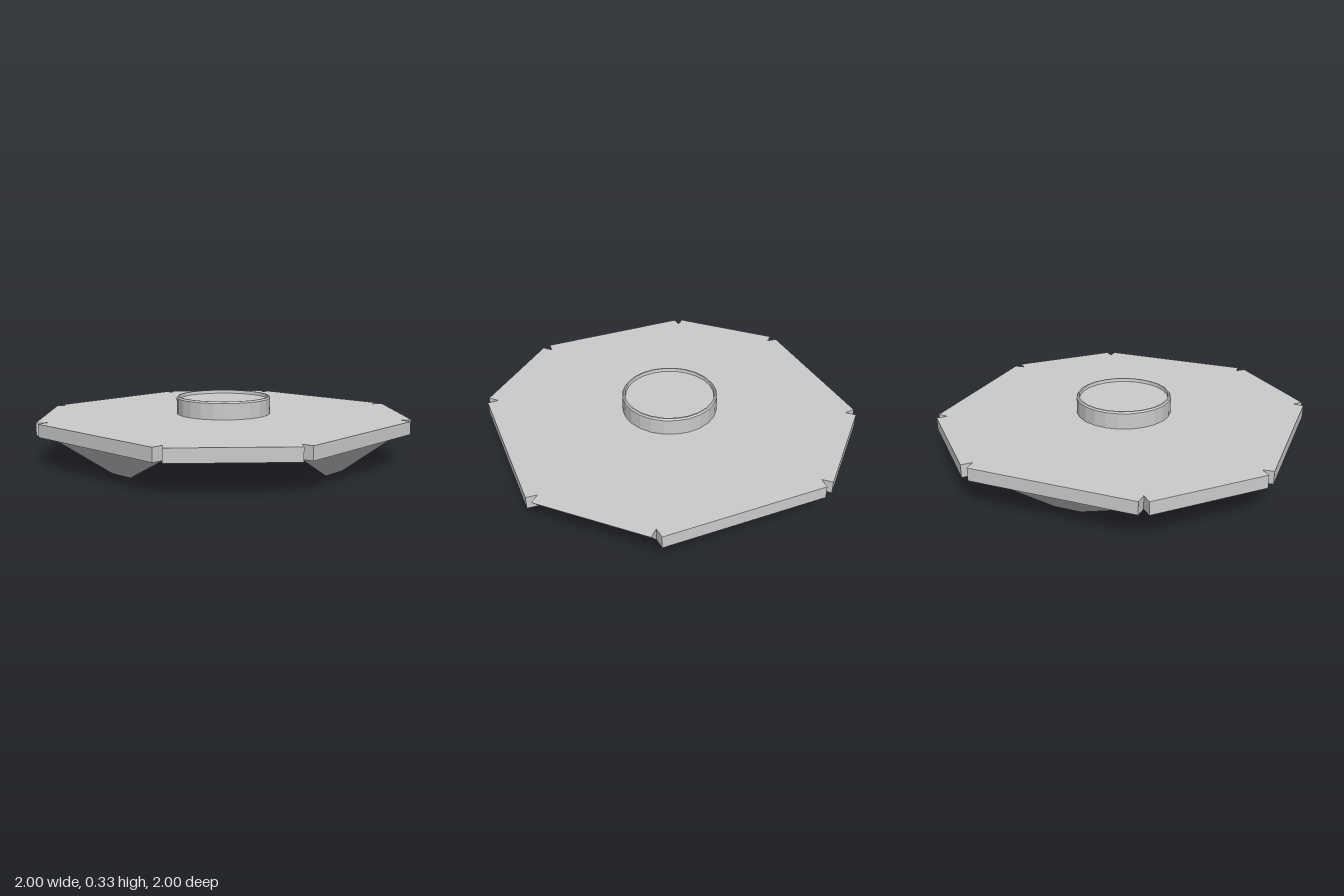
import * as THREE from 'three';

const material = new THREE.MeshStandardMaterial({ color: 0xcccccc, flatShading: true });
const BOTTOM = 0.165, TOP = 0.235;

function mesh(geometry, name) {
  const m = new THREE.Mesh(geometry, material);
  m.name = name;
  return m;
}

// Extrudes a plan outline upward from y0 to y1
function slab(points, y0, y1) {
  const g = new THREE.ExtrudeGeometry(new THREE.Shape(points), { depth: y1 - y0, bevelEnabled: false });
  g.rotateX(-Math.PI / 2);
  g.translate(0, y0, 0);
  return g;
}

// Octagonal plate with a notch at every corner; its +x edge is undercut
function plate() {
  const side = [[1, -0.312], [1, 0.312], [0.94, 0.312], [0.979, 0.357], [0.357, 0.979], [0.312, 0.94]];
  const points = [];
  for (let i = 0; i < 4; i++) {
    for (const [x, y] of side) {
      points.push(new THREE.Vector2(x, y).rotateAround(new THREE.Vector2(), i * Math.PI / 2));
    }
  }
  const g = slab(points, BOTTOM, TOP);
  const p = g.attributes.position;
  for (let i = 0; i < p.count; i++) {
    if (p.getX(i) > 0.99 && p.getY(i) < 0.2) p.setX(i, 0.94);
  }
  g.computeVertexNormals();
  return mesh(g, 'plate');
}

// Triangular foot tapering downward to a small tip about its centroid
function footGeometry() {
  const a = 0.312, b = 0.94, c = (2 * a + b) / 3, taper = 0.16;
  const g = slab([[a, a], [b, a], [a, b]].map(([x, y]) => new THREE.Vector2(x, y)), 0, BOTTOM);
  const p = g.attributes.position;
  for (let i = 0; i < p.count; i++) {
    if (p.getY(i) > 0.01) continue;
    p.setX(i, c + (p.getX(i) - c) * taper);
    p.setZ(i, -c + (p.getZ(i) + c) * taper);
  }
  g.computeVertexNormals();
  return g;
}

// Round hub with a bevelled rim and a shallow recessed top
function hub() {
  const profile = [[0.267, TOP], [0.267, 0.324], [0.26, 0.333], [0.252, 0.333], [0.249, 0.315], [0, 0.315]];
  return mesh(new THREE.LatheGeometry(profile.map(([r, y]) => new THREE.Vector2(r, y)), 24), 'hub');
}

export function createModel() {
  const group = new THREE.Group();
  group.name = 'octagonalPlatform';
  group.add(plate(), hub());
  const foot = footGeometry();
  for (let i = 0; i < 4; i++) {
    const m = mesh(foot, 'foot');
    m.rotation.y = i * Math.PI / 2;
    group.add(m);
  }
  return group;
}
